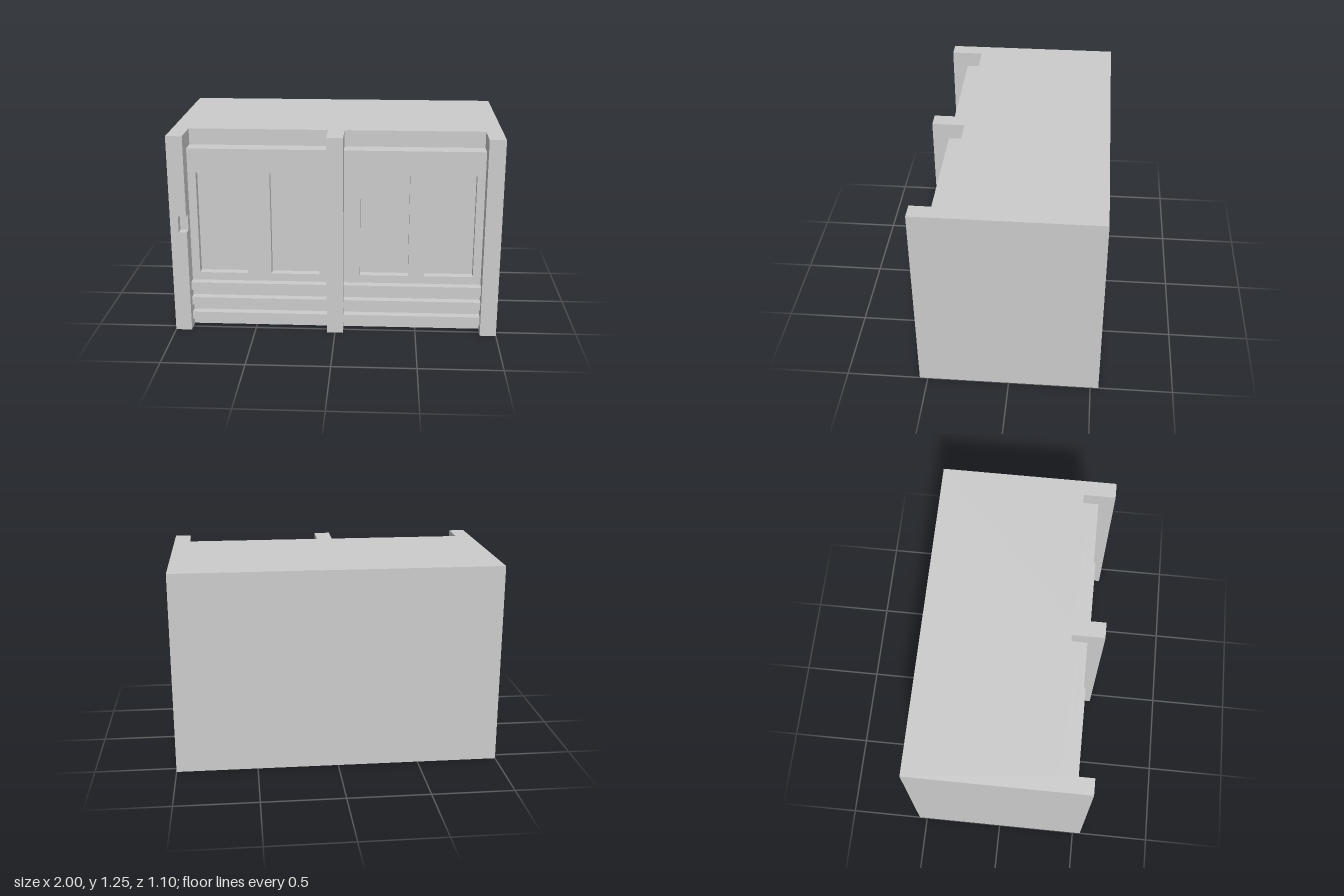
import * as THREE from 'three';

const material = new THREE.MeshStandardMaterial({ color: 0xcccccc, flatShading: true });

function shapeFrom(points) {
  return new THREE.Shape(points.map(([x, y]) => new THREE.Vector2(x, y)));
}

function rectangle(x0, x1, y0, y1) {
  return [[x0, y0], [x1, y0], [x1, y1], [x0, y1]];
}

// Extrudes a front-facing outline from z0 to z1
function slab(name, shape, z0, z1) {
  const geometry = new THREE.ExtrudeGeometry(shape, { depth: z1 - z0, bevelEnabled: false });
  geometry.translate(0, 0, z0);
  const mesh = new THREE.Mesh(geometry, material);
  mesh.name = name;
  return mesh;
}

// Door with a pair of recessed panels and three slats below
function createDoor(name, x0, x1, panels) {
  const door = new THREE.Group();
  door.name = name;
  door.add(slab('doorBacking', shapeFrom(rectangle(x0, x1, 0, 1.15)), 0.35, 0.4));

  const frame = shapeFrom(rectangle(x0, x1, 0, 1.15));
  for (const [a, b] of panels) {
    frame.holes.push(shapeFrom(rectangle(a, b, 0.35, 1)));
  }
  door.add(slab('doorFrame', frame, 0.4, 0.45));

  for (const y of [0.05, 0.15, 0.25]) {
    door.add(slab('slat', shapeFrom(rectangle(x0, x1, y, y + 0.05)), 0.45, 0.5));
  }
  return door;
}

export function createModel() {
  const model = new THREE.Group();
  model.name = 'cabinet';

  // Body and front posts as one floor plan (x, -z) raised to full height
  const plan = shapeFrom([
    [-1, 0.55], [-1, -0.5], [-0.9, -0.5], [-0.9, -0.35],
    [-0.05, -0.35], [-0.05, -0.55], [0.05, -0.55], [0.05, -0.35],
    [0.9, -0.35], [0.9, -0.55], [1, -0.55], [1, 0.55],
  ]);
  const bodyGeometry = new THREE.ExtrudeGeometry(plan, { depth: 1.25, bevelEnabled: false });
  bodyGeometry.rotateX(-Math.PI / 2);
  const body = new THREE.Mesh(bodyGeometry, material);
  body.name = 'body';
  model.add(body);

  // Front of the right-hand post, with a small latch notch in its inner edge
  const postFace = shapeFrom([
    [-1, 0], [-0.9, 0], [-0.9, 0.65], [-0.95, 0.65],
    [-0.95, 0.75], [-0.9, 0.75], [-0.9, 1.25], [-1, 1.25],
  ]);
  model.add(slab('notchedPostFace', postFace, 0.5, 0.55));

  // Doors between the posts
  model.add(createDoor('rightDoor', -0.9, -0.05, [[-0.85, -0.55], [-0.4, -0.1]]));
  model.add(createDoor('leftDoor', 0.05, 0.9, [[0.15, 0.45], [0.55, 0.85]]));

  return model;
}
